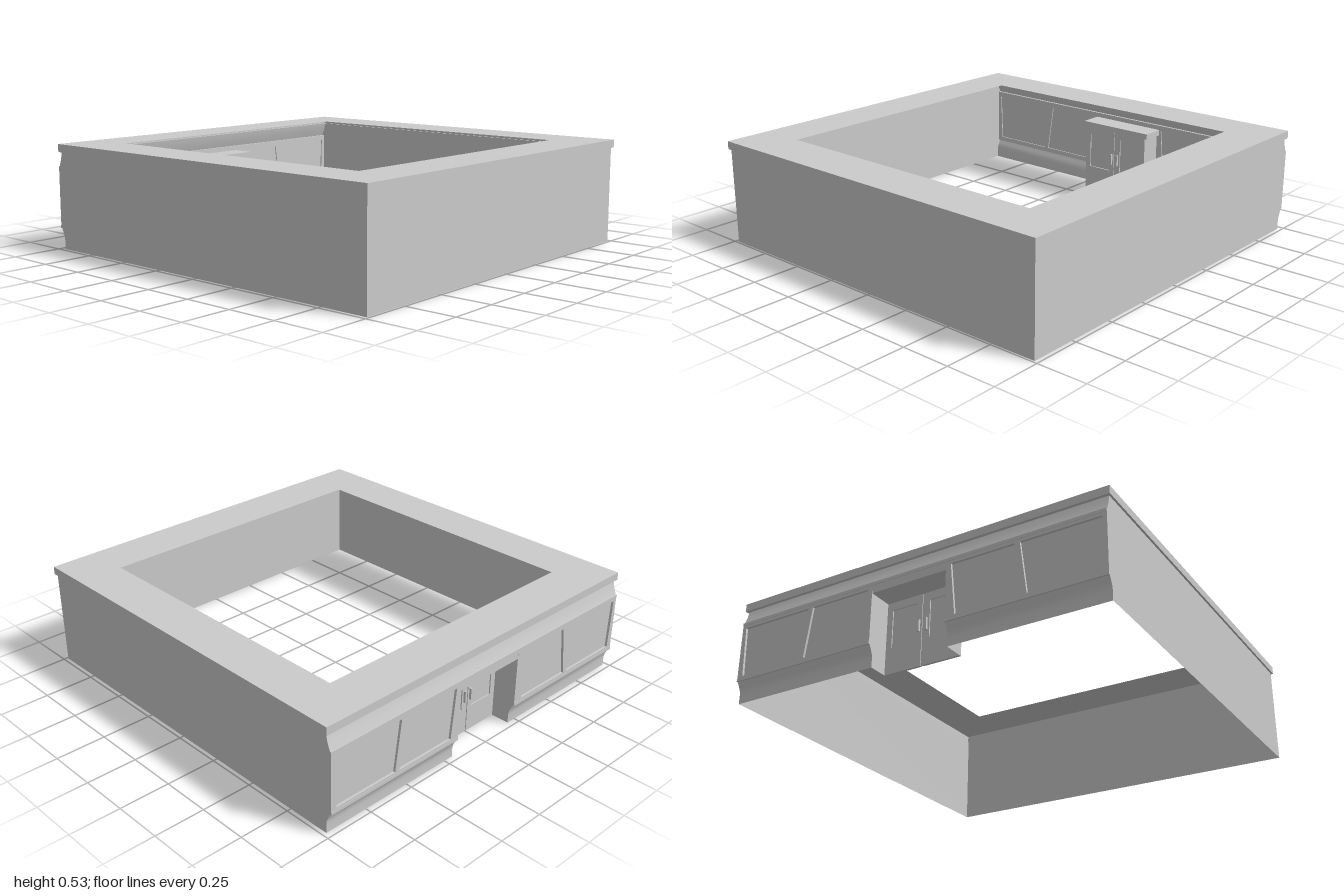
import * as THREE from 'three';
import { toCreasedNormals } from 'three/addons/utils/BufferGeometryUtils.js';

const material = new THREE.MeshStandardMaterial({ color: 0xcccccc, side: THREE.DoubleSide });

export function createModel() {
  const model = new THREE.Group();

  const add = (name, geometry, x = 0, y = 0, z = 0) => {
    const mesh = new THREE.Mesh(geometry, material);
    mesh.name = name;
    mesh.position.set(x, y, z);
    model.add(mesh);
    return mesh;
  };
  const box = (name, x0, x1, y0, y1, z0, z1) =>
    add(name, new THREE.BoxGeometry(x1 - x0, y1 - y0, z1 - z0), (x0 + x1) / 2, (y0 + y1) / 2, (z0 + z1) / 2);
  const polygon = (points, Type = THREE.Shape) => new Type(points.map(([x, y]) => new THREE.Vector2(x, y)));
  const rect = (x0, x1, y0, y1) => [[x0, y0], [x1, y0], [x1, y1], [x0, y1]];

  // Thin sheet: a (z, y) profile swept from x0 to x1
  const sheet = (name, profile, x0, x1) => {
    const g = new THREE.PlaneGeometry(1, 1, 1, profile.length - 1);
    const p = g.attributes.position;
    profile.forEach(([z, y], i) => {
      p.setXYZ(2 * i, x0, y, z);
      p.setXYZ(2 * i + 1, x1, y, z);
    });
    g.computeVertexNormals();
    add(name, toCreasedNormals(g, 0.7));
  };
  // Flat panel with holes in the xy plane, given a thickness in z
  const panel = (name, outline, holes, z, depth) => {
    const shape = polygon(outline);
    shape.holes = holes.map((h) => polygon(h, THREE.Path));
    add(name, new THREE.ExtrudeGeometry(shape, { depth, bevelEnabled: false }), 0, 0, z);
  };
  // Flat rectangle ring lying in the xz plane
  const ring = (name, outer, inner, y) => {
    const shape = polygon(rect(...outer));
    shape.holes.push(polygon(rect(...inner), THREE.Path));
    const g = new THREE.ShapeGeometry(shape);
    g.rotateX(-Math.PI / 2);
    add(name, g, 0, y, 0);
  };
  // Vertical sheet between two ground points
  const wall = (name, x0, z0, x1, z1, y0, y1) => {
    const g = new THREE.PlaneGeometry(Math.hypot(x1 - x0, z1 - z0), y1 - y0);
    g.rotateY(Math.atan2(z0 - z1, x1 - x0));
    add(name, g, (x0 + x1) / 2, (y0 + y1) / 2, (z0 + z1) / 2);
  };

  // Roof ring with its fascia and the small overhang below it (z is negated in ring plans)
  ring('roof', [-0.99, 0.99, -1, 0.985], [-0.755, 0.755, -0.76, 0.755], 0.53);
  ring('roofOverhang', [-0.99, 0.99, -1, 0.985], [-0.98, 0.98, -0.99, 0.97], 0.49);
  const corners = [[-0.99, 1], [0.99, 1], [0.99, -0.985], [-0.99, -0.985]];
  corners.forEach(([x, z], i) => {
    const [nx, nz] = corners[(i + 1) % 4];
    wall('fascia', x, z, nx, nz, 0.49, 0.53);
  });

  // Plain walls
  wall('frontWall', -0.98, 0.99, 0.98, 0.99, 0, 0.49);
  for (const s of [-1, 1]) wall('sideWall', s * 0.98, 0.99, s * 0.98, -0.97, 0, 0.49);

  // Shopfront on the back: sloped header and lintel
  const lower = [[-0.995, 0.115], [-0.992, 0.105], [-0.982, 0.085], [-0.973, 0.065], [-0.97, 0.045], [-0.97, 0]];
  const header = [[-0.97, 0.49], [-0.978, 0.455], [-0.995, 0.41]];
  sheet('header', header, -0.98, 0.98);
  box('headerTrim', -0.98, 0.98, 0.4, 0.415, -1, -0.98);
  box('doorLintel', -0.215, 0.215, 0.36, 0.41, -0.997, -0.982);

  for (const s of [-1, 1]) {
    const mirror = (points) => points.map(([x, y]) => [s * x, y]);
    // Curved stall riser, sill and end cheek
    sheet('stallRiser', lower, s * 0.2, s * 0.98);
    const [a, b] = s > 0 ? [0.2, 0.98] : [-0.98, -0.2];
    box('sill', a, b, 0.105, 0.12, -1, -0.98);
    const sideShape = (z) => {
      const g = new THREE.ShapeGeometry(polygon([[z, 0], [z, 0.49], ...header, ...lower]));
      g.rotateY(-Math.PI / 2);
      return g;
    };
    add('endCheek', sideShape(-0.97), s * 0.98);
    // Two leaning panes in a frame
    const panes = [
      [[0.95, 0.13], [0.605, 0.13], [0.572, 0.385], [0.96, 0.385]],
      [[0.58, 0.13], [0.25, 0.13], [0.225, 0.385], [0.545, 0.385]],
    ].map(mirror);
    panel('windowFrame', mirror(rect(0.2, 0.98, 0.115, 0.41)), panes, -0.998, 0.018);
    panes.forEach((p) => add('windowPane', new THREE.ShapeGeometry(polygon(p)), 0, 0, -0.986));

    // Porch side following the curved base
    const porch = new THREE.ShapeGeometry(polygon([[-0.87, 0], [-0.87, 0.37], [-0.995, 0.37], ...lower]));
    porch.rotateY(-Math.PI / 2);
    add('porchSide', porch, s * 0.2);

    // Door leaf with glazing and handle
    const glass = mirror(rect(0.035, 0.17, 0.13, 0.32));
    panel('doorLeaf', mirror(rect(0.006, 0.2, 0, 0.36)), [glass], -0.876, 0.012);
    add('doorGlass', new THREE.ShapeGeometry(polygon(glass)), 0, 0, -0.87);
    for (const z of [-0.882, -0.858]) {
      box('doorHandle', s * 0.02 - 0.005, s * 0.02 + 0.005, 0.17, 0.23, z - 0.006, z + 0.006);
    }
  }
  box('doorPost', -0.006, 0.006, 0, 0.36, -0.872, -0.868);
  box('porchCeiling', -0.215, 0.215, 0.36, 0.39, -0.985, -0.86);

  return model;
}
